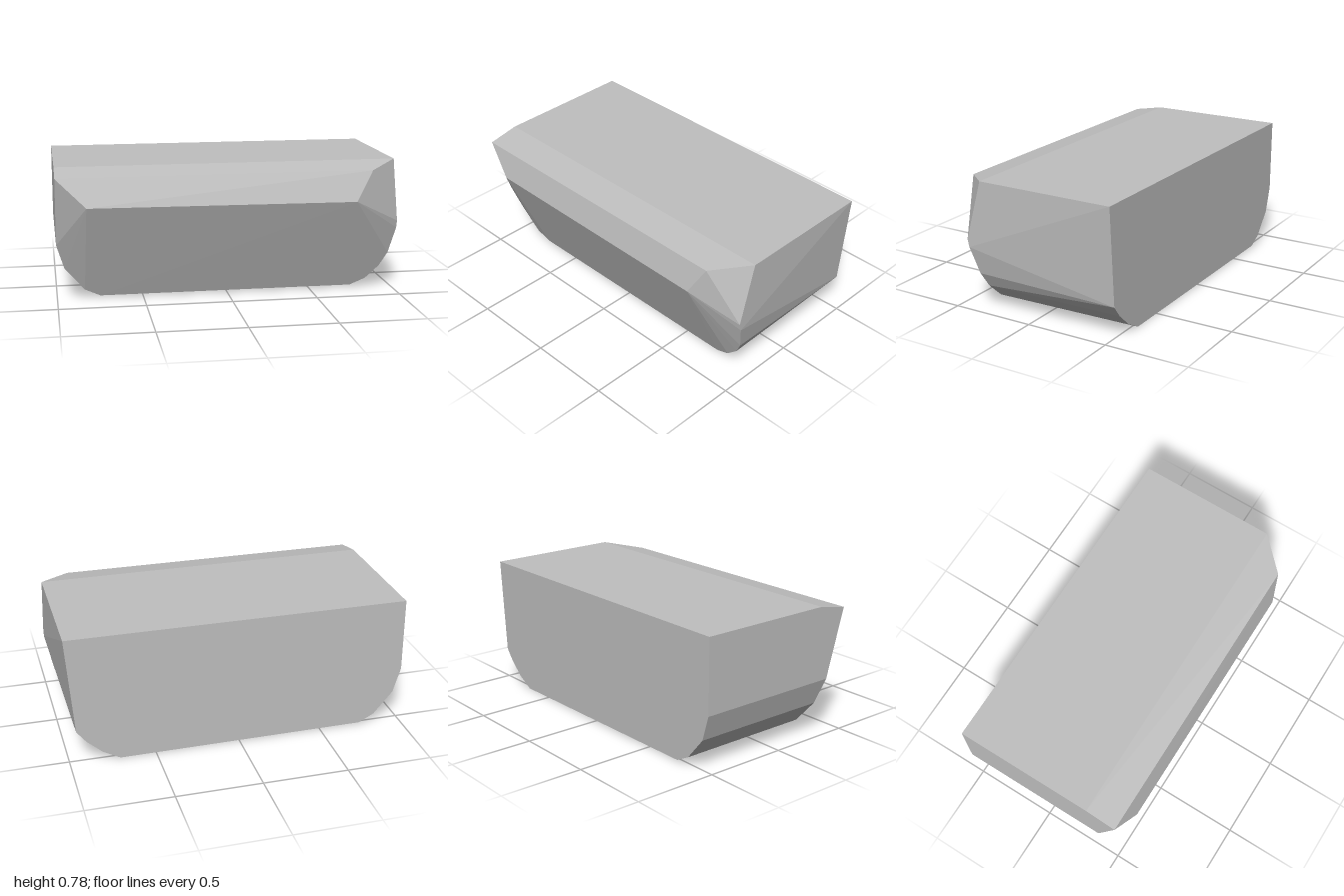
import * as THREE from 'three';
import { ConvexGeometry } from 'three/addons/geometries/ConvexGeometry.js';

// Faceted convex block: flat back, rounded lower sides, raked front with a chamfered brow.
export function createModel() {
  const group = new THREE.Group();
  group.name = 'facetedBlock';
  const grey = new THREE.MeshStandardMaterial({ color: 0xbfbfbf, flatShading: true });
  grey.name = 'grey';

  const back = -0.53;
  // flat back outline (x, y)
  const backOutline = [
    [-1, 0.78], [-1, 0.34], [-0.955, 0.19], [-0.84, 0.055], [-0.75, 0.008],
    [0.71, 0], [0.81, 0.055], [0.9, 0.135], [0.955, 0.205], [1, 0.78],
  ].map(([x, y]) => [x, y, back]);

  // ends of the flat top and the brow edges below it
  const brow = [
    [-1, 0.78, 0.305], [1, 0.78, 0.305],
    [-1, 0.745, 0.49], [0.82, 0.745, 0.49],
    [-0.83, 0.58, 0.53], [0.72, 0.57, 0.53],
  ];

  // lower front rim, curving under on both sides
  const rim = [
    [-1, 0.34, 0.37], [-0.955, 0.19, 0.325], [-0.84, 0.055, 0.305], [-0.75, 0.013, 0.295],
    [0.75, 0.013, 0.295], [0.84, 0.055, 0.31], [0.92, 0.135, 0.328],
    [0.965, 0.22, 0.352], [1, 0.38, 0.395], [1, 0.425, 0.406],
  ];

  const points = [...backOutline, ...brow, ...rim].map((p) => new THREE.Vector3(...p));
  const body = new THREE.Mesh(new ConvexGeometry(points), grey);
  body.name = 'body';
  group.add(body);
  return group;
}
